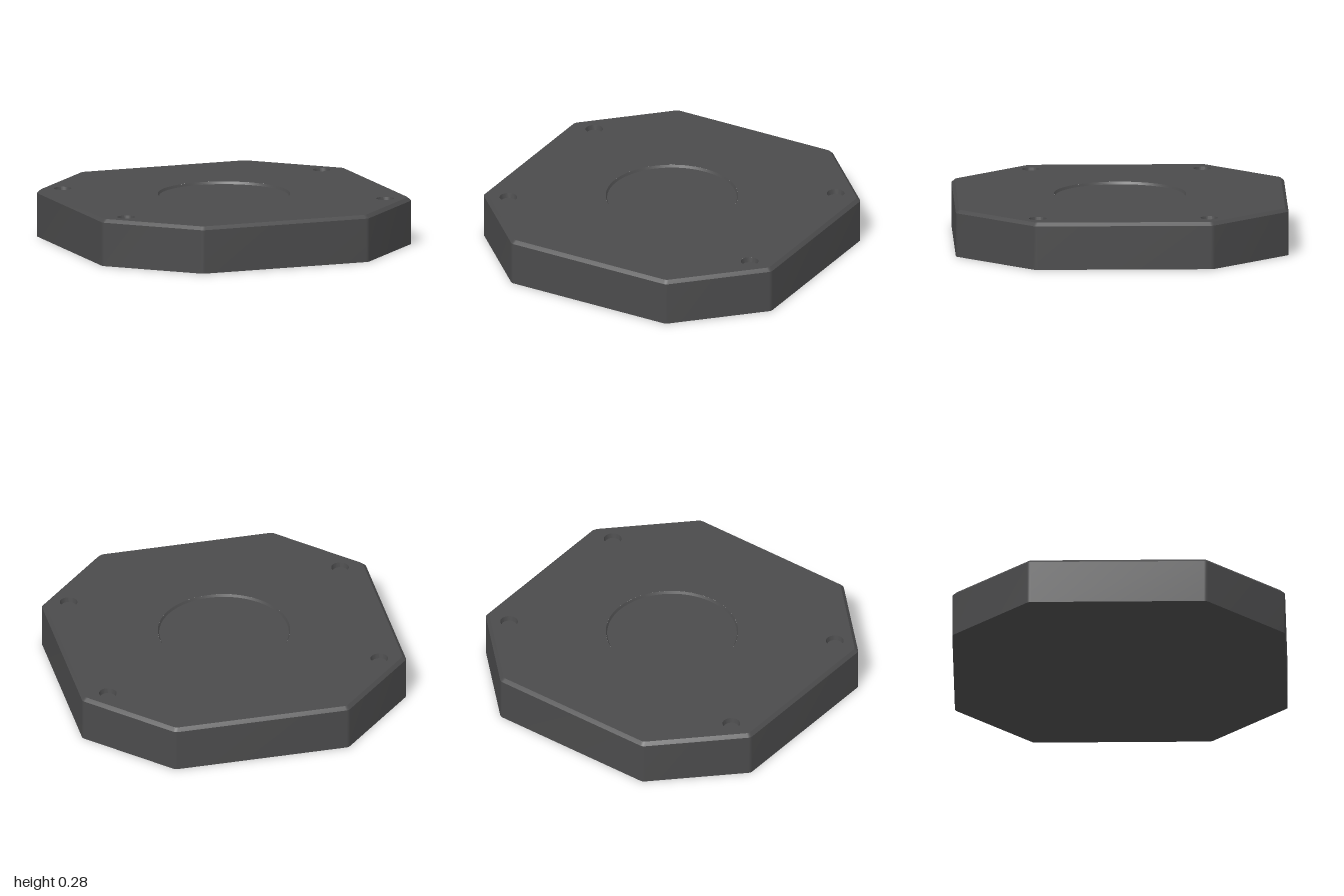
import * as THREE from 'three';
import { toCreasedNormals } from 'three/addons/utils/BufferGeometryUtils.js';

const HEIGHT = 0.285, CHAMFER = 0.02, CORNER = 0.535, SEGMENTS = 64;

// Octagon with softly rounded corners, moved inward by a given inset
function outline(inset) {
  const a = 1 - inset, b = CORNER - inset * (Math.SQRT2 - 1);
  const corners = [[a, -b], [a, b], [b, a], [-b, a], [-a, b], [-a, -b], [-b, -a], [b, -a]]
    .map(([x, y]) => new THREE.Vector2(x, y));
  const points = [];
  corners.forEach((c, i) => {
    const toward = (q) => q.clone().sub(c).setLength(0.015).add(c);
    const start = toward(corners[(i + 7) % 8]), end = toward(corners[(i + 1) % 8]);
    points.push(...new THREE.QuadraticBezierCurve(start, c, end).getPoints(4));
  });
  return points;
}

// Band of faces between two outlines at different heights
function band(lower, y0, upper, y1) {
  const n = lower.length, positions = [], index = [];
  for (let i = 0; i < n; i++) {
    positions.push(lower[i].x, y0, -lower[i].y, upper[i].x, y1, -upper[i].y);
    const j = (i + 1) % n;
    index.push(2 * i, 2 * j, 2 * j + 1, 2 * i, 2 * j + 1, 2 * i + 1);
  }
  const geometry = new THREE.BufferGeometry();
  geometry.setAttribute('position', new THREE.Float32BufferAttribute(positions, 3));
  geometry.setIndex(index);
  return toCreasedNormals(geometry, 0.5);
}

export function createModel() {
  const group = new THREE.Group();
  group.name = 'octagonalBase';
  const material = new THREE.MeshStandardMaterial({ color: 0x4b4b4c });
  const add = (name, geometry) => {
    const mesh = new THREE.Mesh(geometry, material);
    mesh.name = name;
    group.add(mesh);
    return mesh;
  };

  // Central dish and four corner sockets
  const recesses = [{ name: 'centreRecess', x: 0, z: 0, r: 0.398, floor: 0.39, depth: 0.015 }];
  for (const x of [-0.838, 0.838]) {
    for (const z of [-0.515, 0.515]) {
      recesses.push({ name: 'cornerSocket', x, z, r: 0.053, floor: 0.047, depth: 0.03 });
    }
  }

  // Side walls, top chamfer and underside
  const outer = outline(0), inner = outline(CHAMFER);
  add('sideWalls', band(outer, 0, outer, HEIGHT - CHAMFER));
  add('topChamfer', band(outer, HEIGHT - CHAMFER, inner, HEIGHT));
  add('underside', new THREE.ShapeGeometry(new THREE.Shape(outer)).rotateX(Math.PI / 2));

  // Top face, pierced where the recesses sink in
  const top = new THREE.Shape(inner);
  for (const { x, z, r } of recesses) {
    top.holes.push(new THREE.Path().absarc(x, -z, r, 0, Math.PI * 2, true));
  }
  add('topFace', new THREE.ShapeGeometry(top, SEGMENTS).rotateX(-Math.PI / 2)).position.y = HEIGHT;

  // Recess walls and floors
  for (const { name, x, z, r, floor, depth } of recesses) {
    const profile = [[r, 0], [floor, -depth], [0, -depth]].map(([px, py]) => new THREE.Vector2(px, py));
    const geometry = toCreasedNormals(new THREE.LatheGeometry(profile, SEGMENTS), 0.5);
    add(name, geometry).position.set(x, HEIGHT, z);
  }
  return group;
}
